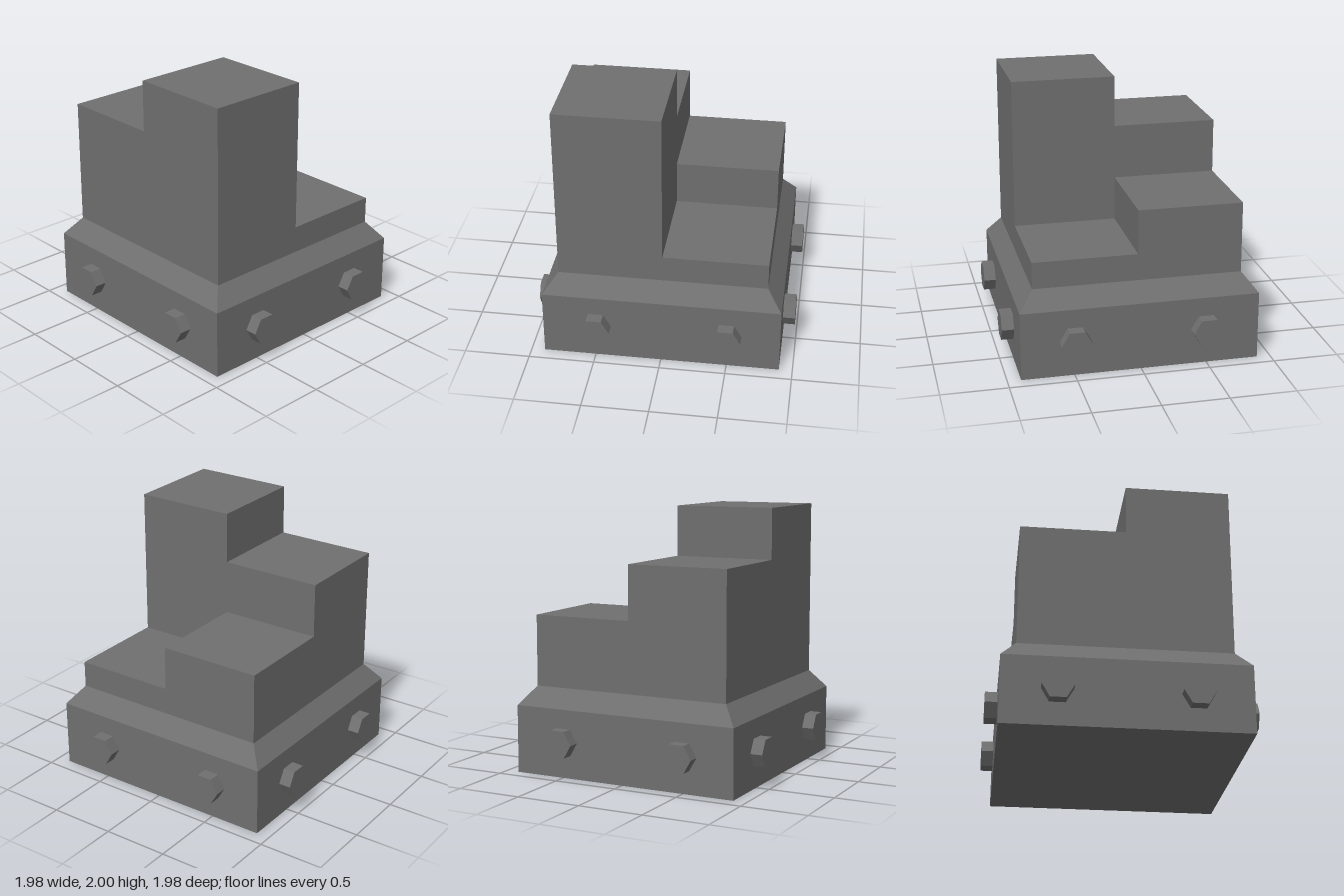
import * as THREE from 'three';

const material = new THREE.MeshStandardMaterial({ color: 0x6f6f6f });
material.flatShading = true;

function addMesh(parent, name, geometry) {
  const mesh = new THREE.Mesh(geometry, material);
  mesh.name = name;
  parent.add(mesh);
  return mesh;
}

export function createModel() {
  const model = new THREE.Group();
  model.name = 'steppedBlock';

  const baseHalf = 0.898, baseTop = 0.518;
  const towerHalf = 0.787, towerBottom = 0.659;

  // Square plinth
  addMesh(model, 'base', new THREE.BoxGeometry(baseHalf * 2, baseTop, baseHalf * 2))
    .position.y = baseTop / 2;

  // Sloped collar: a four-sided frustum turned square to the axes
  const collar = new THREE.CylinderGeometry(
    towerHalf * Math.SQRT2, baseHalf * Math.SQRT2, towerBottom - baseTop, 4, 1, true, Math.PI / 4);
  addMesh(model, 'bevelCollar', collar).position.y = (baseTop + towerBottom) / 2;

  // Four quadrant blocks of different heights: name, x side, z side, top
  const blocks = [
    ['frontLeftBlock', 1, 1, 2],
    ['frontRightBlock', -1, 1, 1.613],
    ['backRightBlock', -1, -1, 1.2],
    ['backLeftBlock', 1, -1, 0.863],
  ];
  for (const [name, sx, sz, top] of blocks) {
    const height = top - towerBottom;
    addMesh(model, name, new THREE.BoxGeometry(towerHalf, height, towerHalf))
      .position.set(sx * towerHalf / 2, towerBottom + height / 2, sz * towerHalf / 2);
  }

  // Hexagonal bolts, two on each side, with corners pointing sideways
  const boltLength = 0.092;
  const bolt = new THREE.CylinderGeometry(0.116, 0.116, boltLength, 6, 1, false, Math.PI / 2);
  bolt.rotateX(Math.PI / 2);
  ['front', 'left', 'back', 'right'].forEach((side, i) => {
    const bolts = new THREE.Group();
    bolts.name = side + 'Bolts';
    bolts.rotation.y = i * Math.PI / 2;
    for (const s of [-1, 1]) {
      addMesh(bolts, 'hexBolt', bolt).position.set(s * 0.494, 0.274, baseHalf + boltLength / 2);
    }
    model.add(bolts);
  });

  return model;
}
